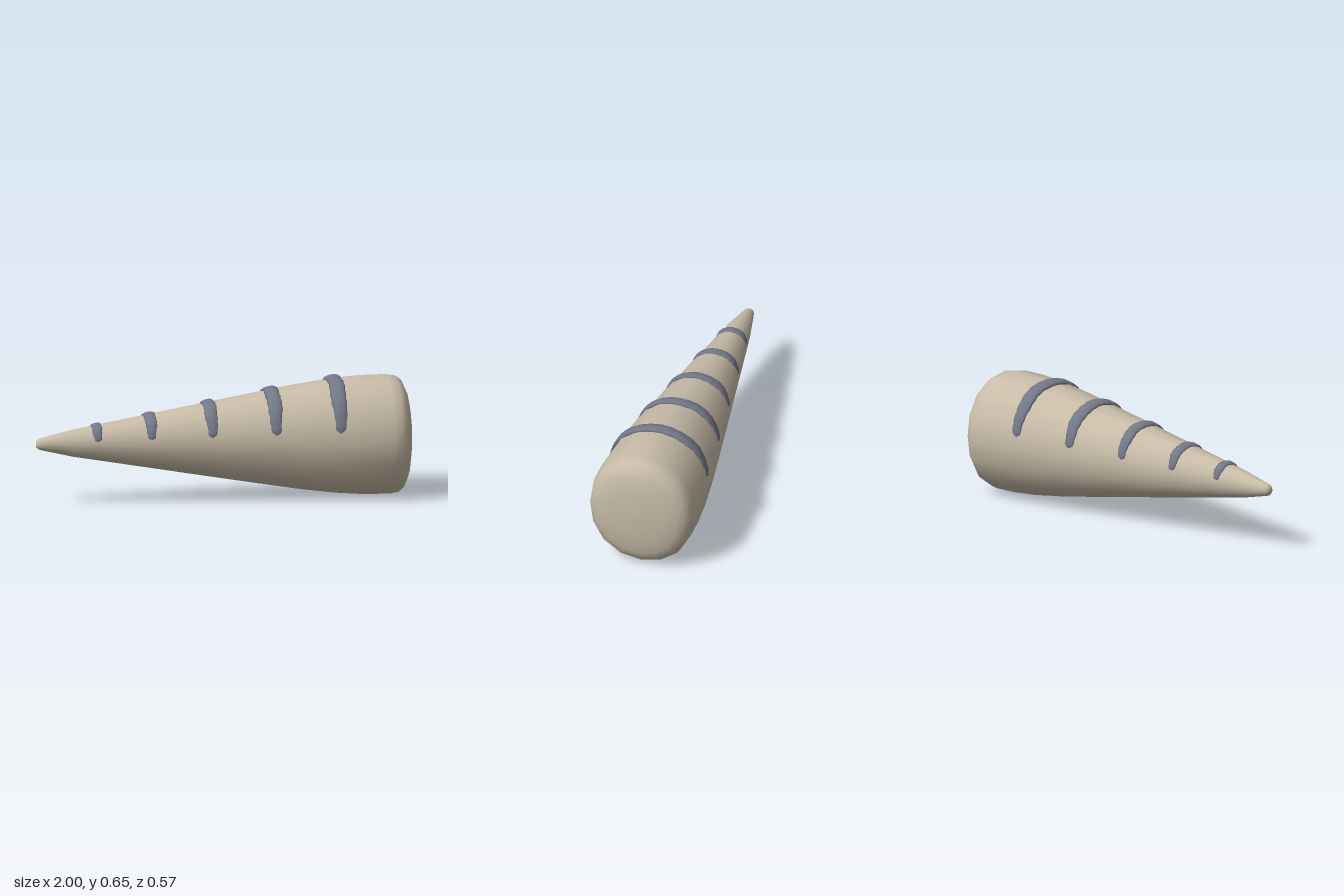
import * as THREE from 'three';

const CENTRE_Y = 0.322;
const SQUASH = 0.893; // depth relative to height

// Half-height along the length: [x, radius]
const PROFILE = [
  [-1, 0], [-0.998, 0.017], [-0.985, 0.029], [-0.96, 0.036], [-0.8, 0.073], [-0.6, 0.108],
  [-0.4, 0.143], [0, 0.213], [0.4, 0.281], [0.6, 0.308], [0.75, 0.32], [0.88, 0.321],
  [0.925, 0.313], [0.957, 0.287], [0.978, 0.24], [0.992, 0.165], [0.998, 0.08], [1, 0],
];

function radiusAt(x) {
  const i = PROFILE.findIndex((p) => p[0] >= x);
  const [x0, r0] = PROFILE[i - 1], [x1, r1] = PROFILE[i];
  return r0 + (r1 - r0) * (x - x0) / (x1 - x0);
}

// The cross-section is an oval with slightly fuller diagonals
const fullness = (angle) => 1 + 0.028 * Math.sin(2 * angle) ** 2;

// Tapered body lying along x, blunt end on +x
function bodyGeometry() {
  const g = new THREE.LatheGeometry(PROFILE.map(([x, r]) => new THREE.Vector2(r, x)), 16);
  g.rotateZ(-Math.PI / 2);
  const p = g.attributes.position;
  for (let i = 0; i < p.count; i++) {
    const k = fullness(Math.atan2(p.getY(i), p.getZ(i)));
    p.setXYZ(i, p.getX(i), p.getY(i) * k, p.getZ(i) * k);
  }
  g.scale(1, 1, SQUASH);
  g.translate(0, CENTRE_Y, 0);
  return g;
}

// Lumpy flattened band laid over the upper part of the body
function bandGeometry(x, halfWidth, thickness) {
  const steps = 52, sides = 10, lumps = 13;
  const start = THREE.MathUtils.degToRad(11);
  const positions = [], index = [];
  for (let i = 0; i <= steps; i++) {
    const t = i / steps;
    const angle = start + t * (Math.PI - 2 * start);
    const fromEnd = Math.min(t, 1 - t);
    const cap = Math.sqrt(Math.max(0, 1 - Math.pow(1 - Math.min(1, fromEnd / 0.04), 2)));
    const taper = 0.6 + 0.4 * Math.min(1, fromEnd / 0.22);
    const lump = 1 - 0.05 * Math.cos(t * lumps * Math.PI * 2);
    const w = halfWidth * cap * taper * lump;
    const h = thickness * cap * taper * taper * lump;
    const sway = 0.05 * halfWidth * Math.sin(t * 23 + x * 9);
    for (let j = 0; j < sides; j++) {
      const a = j / sides * Math.PI * 2;
      const px = x + sway + w * Math.cos(a);
      const r = radiusAt(px) * fullness(angle) + h * Math.sin(a);
      positions.push(px, CENTRE_Y + r * Math.sin(angle), SQUASH * r * Math.cos(angle));
      if (i < steps) {
        const p = i * sides + j, q = i * sides + (j + 1) % sides;
        index.push(p, p + sides, q, q, p + sides, q + sides);
      }
    }
  }
  const g = new THREE.BufferGeometry();
  g.setAttribute('position', new THREE.Float32BufferAttribute(positions, 3));
  g.setIndex(index);
  g.computeVertexNormals();
  return g;
}

export function createModel() {
  const model = new THREE.Group();
  const shell = new THREE.MeshStandardMaterial({ color: 0xc8bca8 });
  shell.name = 'warm beige';
  const ridge = new THREE.MeshStandardMaterial({ color: 0x737887 });
  ridge.name = 'slate grey';

  const body = new THREE.Mesh(bodyGeometry(), shell);
  body.name = 'taperedBody';
  model.add(body);

  // Five raised bands, growing toward the blunt end
  const bands = [[-0.68, 0.026, 0.010], [-0.397, 0.030, 0.011], [-0.08, 0.033, 0.013],
    [0.255, 0.038, 0.015], [0.593, 0.041, 0.016]];
  bands.forEach(([x, halfWidth, thickness], i) => {
    const band = new THREE.Mesh(bandGeometry(x, halfWidth, thickness), ridge);
    band.name = `raisedBand${i + 1}`;
    model.add(band);
  });
  return model;
}
